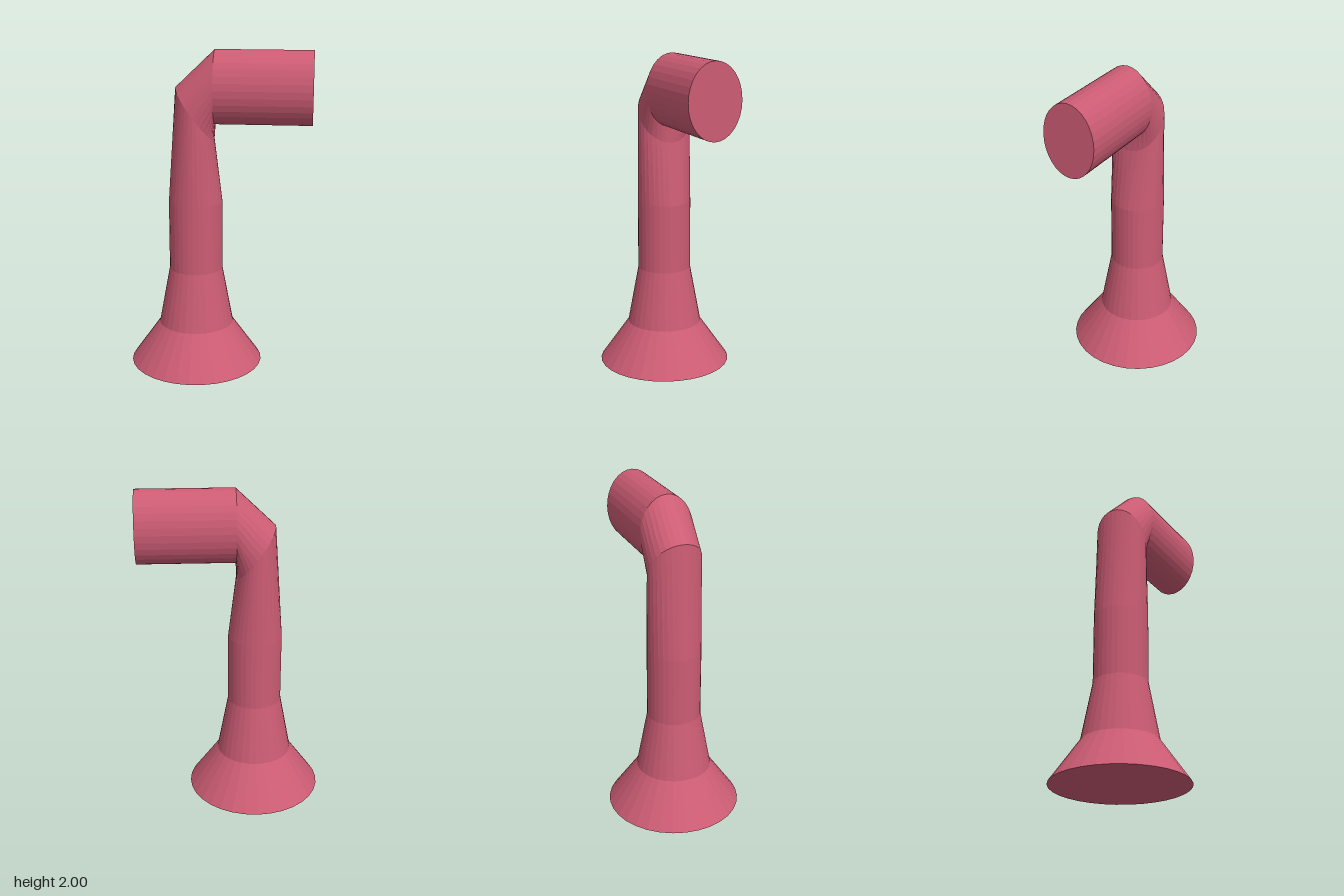
import * as THREE from 'three';

const SIDES = 32;
const CX = -0.148; // upright axis of the stand

// Each ring: centre (x, y), half-axis in the xy plane (ax, ay), half-width in z
const rings = [
  { x: CX, y: 0, ax: 0.417, ay: 0, rz: 0.417 },
  { x: CX, y: 0.26, ax: 0.235, ay: 0, rz: 0.235 },
  { x: CX, y: 0.625, ax: 0.167, ay: 0, rz: 0.167 },
  { x: CX, y: 1.06, ax: 0.167, ay: 0, rz: 0.167 },
  { x: CX, y: 1.61, ax: 0.118, ay: -0.16, rz: 0.167 },
  { x: -0.027, y: 1.774, ax: 0, ay: -0.226, rz: 0.167 },
  { x: 0.565, y: 1.774, ax: 0, ay: -0.226, rz: 0.167 },
];

// Skin a run of rings, with optional flat caps at its ends
function loft(run, capStart, capEnd) {
  const pos = [], index = [];
  for (const r of run) {
    for (let j = 0; j < SIDES; j++) {
      const t = (j / SIDES) * Math.PI * 2, c = Math.cos(t);
      pos.push(r.x + r.ax * c, r.y + r.ay * c, r.rz * Math.sin(t));
    }
  }
  const cap = (i, flip) => {
    const centre = pos.length / 3;
    pos.push(run[i].x, run[i].y, 0);
    for (let j = 0; j < SIDES; j++) {
      const a = i * SIDES + j, b = i * SIDES + (j + 1) % SIDES;
      index.push(centre, flip ? b : a, flip ? a : b);
    }
  };
  for (let i = 0; i < run.length - 1; i++) {
    for (let j = 0; j < SIDES; j++) {
      const a = i * SIDES + j, b = i * SIDES + (j + 1) % SIDES;
      index.push(a, a + SIDES, b, b, a + SIDES, b + SIDES);
    }
  }
  if (capStart) cap(0, false);
  if (capEnd) cap(run.length - 1, true);
  const geo = new THREE.BufferGeometry();
  geo.setAttribute('position', new THREE.Float32BufferAttribute(pos, 3));
  geo.setIndex(index);
  const flat = geo.toNonIndexed();
  flat.computeVertexNormals();
  return flat;
}

export function createModel() {
  const group = new THREE.Group();
  group.name = 'bentPipe';
  const material = new THREE.MeshStandardMaterial({ color: 0xcc5c74, flatShading: true });
  const add = (name, from, to, capStart = false, capEnd = false) => {
    const mesh = new THREE.Mesh(loft(rings.slice(from, to + 1), capStart, capEnd), material);
    mesh.name = name;
    group.add(mesh);
  };
  add('flaredBase', 0, 2, true);
  add('shaft', 2, 4);
  add('elbow', 4, 5);
  add('outletPipe', 5, 6, false, true);
  return group;
}
